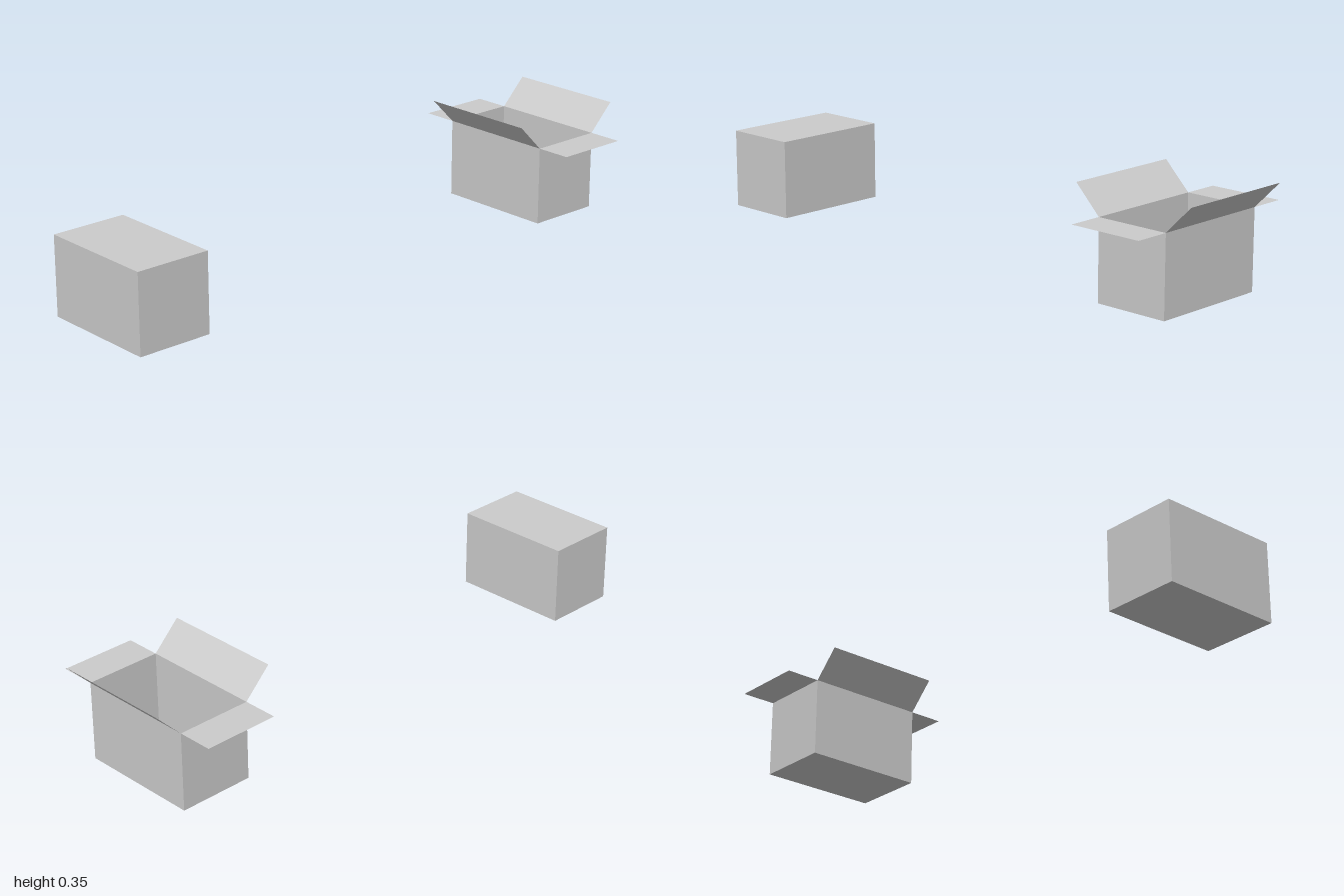
import * as THREE from 'three';

const W = 0.254, H = 0.263, D = 0.41; // carton size
const SIDE_FLAP = 0.127, END_FLAP = 0.119;

const solid = new THREE.MeshStandardMaterial({ color: 0xcccccc, flatShading: true });
const sheet = new THREE.MeshStandardMaterial({ color: 0xcccccc, flatShading: true, side: THREE.DoubleSide });

// Thin cardboard panel hinged along its bottom edge, standing in +y
function panel(name, width, height) {
  const geometry = new THREE.PlaneGeometry(width, height);
  geometry.translate(0, height / 2, 0);
  const mesh = new THREE.Mesh(geometry, sheet);
  mesh.name = name;
  return mesh;
}

// One side of the open carton: a wall with a flap folded outward at its top
function wallWithFlap(name, width, distance, turn, flapLength, fold) {
  const side = new THREE.Group();
  side.name = name;
  const wall = panel(name + 'Wall', width, H);
  wall.position.z = distance;
  const flap = panel(name + 'Flap', width, flapLength);
  flap.position.set(0, H, distance);
  flap.rotation.x = fold;
  side.add(wall, flap);
  side.rotation.y = turn;
  return side;
}

function closedCarton() {
  const mesh = new THREE.Mesh(new THREE.BoxGeometry(W, H, D), solid);
  mesh.name = 'closedCarton';
  mesh.position.set(-1 + W / 2, H / 2, 0);
  return mesh;
}

function openCarton() {
  const carton = new THREE.Group();
  carton.name = 'openCarton';
  const floor = new THREE.Mesh(new THREE.PlaneGeometry(W, D), sheet);
  floor.name = 'floor';
  floor.rotation.x = -Math.PI / 2;
  carton.add(floor);

  // End flaps lie level, side flaps rise at 45 degrees
  const level = Math.PI / 2, raised = Math.PI / 4;
  carton.add(
    wallWithFlap('front', W, D / 2, 0, END_FLAP, level),
    wallWithFlap('back', W, D / 2, Math.PI, END_FLAP, level),
    wallWithFlap('left', D, W / 2, Math.PI / 2, SIDE_FLAP, raised),
    wallWithFlap('right', D, W / 2, -Math.PI / 2, SIDE_FLAP, raised)
  );
  carton.position.x = 1 - SIDE_FLAP * Math.SQRT1_2 - W / 2;
  return carton;
}

export function createModel() {
  const model = new THREE.Group();
  model.name = 'cartons';
  model.add(closedCarton(), openCarton());
  return model;
}
